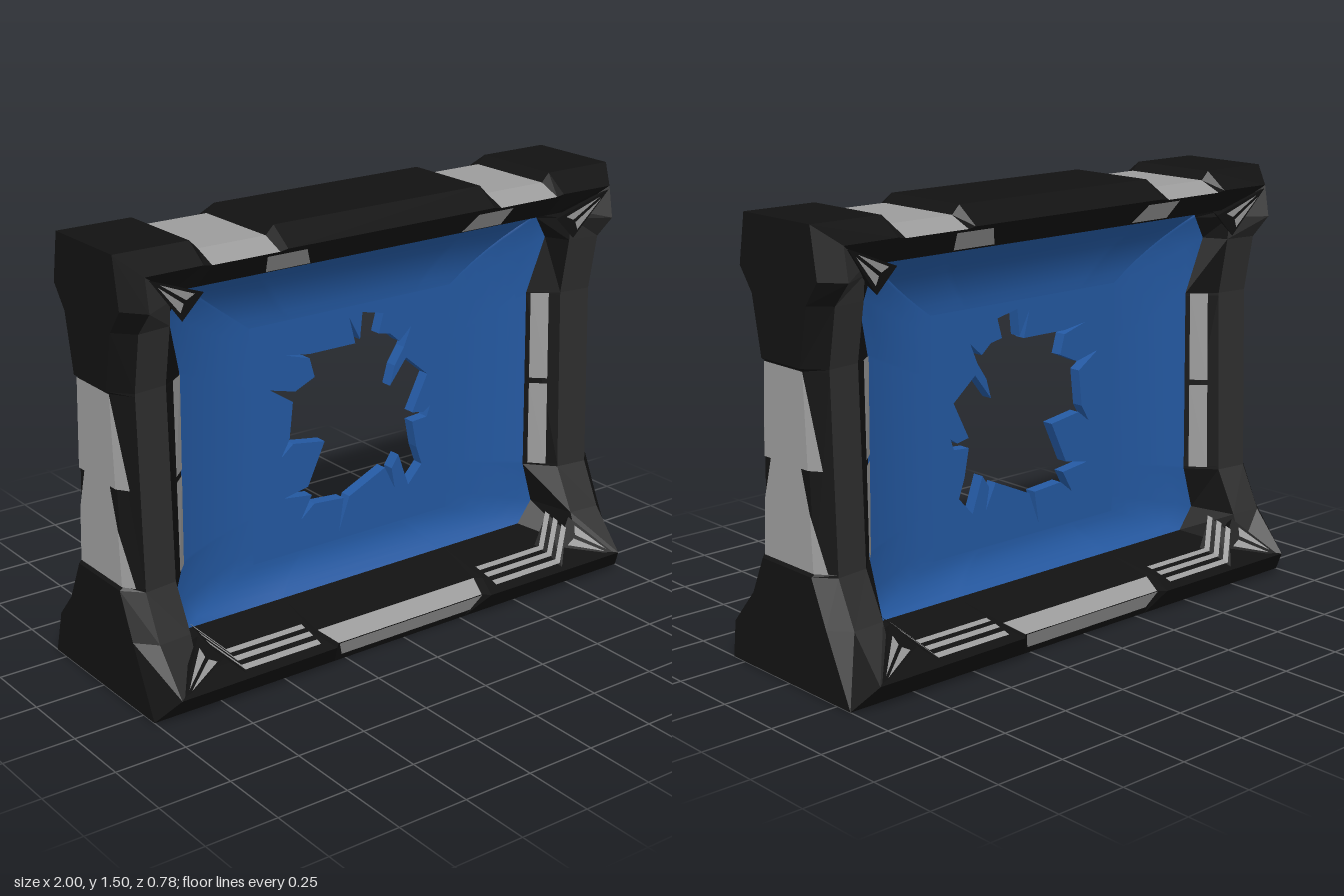
import * as THREE from 'three';

// Piecewise-linear lookup through [key, value] pairs
function table(...pts) {
  return (v) => {
    if (v <= pts[0][0]) return pts[0][1];
    for (let i = 1; i < pts.length; i++) {
      const [a, b] = [pts[i - 1], pts[i]];
      if (v <= b[0]) return a[1] + (b[1] - a[1]) * (v - a[0]) / (b[0] - a[0]);
    }
    return pts[pts.length - 1][1];
  };
}

// Half depth of the frame by height, for each ring from the outer wall to the screen edge
const depth = [
  table([0, .315], [.235, .2], [.39, .13], [1.05, .1], [1.25, .14], [1.33, .2], [1.5, .17]),
  table([.09, .39], [.235, .265], [.39, .19], [1.05, .17], [1.25, .205], [1.33, .275], [1.44, .255]),
  table([.115, .3], [.235, .255], [.39, .175], [1.05, .155], [1.25, .19], [1.36, .2]),
  table([.155, .08], [1.05, .08], [1.34, .12]),
];
// Half width of each ring by height
const width = [
  table([.39, 1], [.4, .985], [1.04, .985], [1.05, 1]),
  () => .94,
  () => .82,
  table([.155, .72], [.235, .78], [.39, .735], [1.05, .725], [1.25, .78], [1.34, .72]),
];
const low = [0, .09, .115, .155], high = [1.5, 1.44, 1.36, 1.34];
const sideY = [.235, .39, .4, 1.04, 1.05, 1.25, 1.33];

// One closed ring, counter-clockwise from the lower +x corner; each point keeps its panel tag
function ring(k) {
  const side = [low[k], ...sideY, high[k]].map((y) => ({ p: [width[k](y), y, depth[k](y)], onSide: true }));
  const topHalf = [[.73, 0], [.7, 1], [.45, 1], [.42, 0]].map(([x, tag]) => ({
    p: [x, high[k] - tag * [.03, .005, 0, 0][k], [.17, .25, .2, .12][k]], tag,
  }));
  const bx = [.27, .31, .34, .34][k];
  const bottomHalf = [[bx, 1], [bx + .025, 0]].map(([x, tag]) => ({
    p: [x, low[k], [.315, .385, .3, .08][k] - tag * [0, .025, .02, 0][k]], tag,
  }));
  const flip = (list) => [...list].reverse().map((o) => ({ ...o, p: [-o.p[0], o.p[1], o.p[2]] }));
  return [...side, ...topHalf, ...flip(topHalf), ...flip(side), ...flip(bottomHalf), ...bottomHalf];
}

// Collects flat faces, mirrored to the back and optionally to the other side
class Faces {
  constructor() { this.pos = []; }
  tri(a, b, c, mirrorX = false) {
    for (const sx of mirrorX ? [1, -1] : [1]) for (const sz of [1, -1]) {
      for (const p of sx * sz > 0 ? [a, b, c] : [a, c, b]) this.pos.push(p[0] * sx, p[1], p[2] * sz);
    }
  }
  quad(a, b, c, d, mirrorX) { this.tri(a, b, c, mirrorX); this.tri(a, c, d, mirrorX); }
  mesh(name, material) {
    const g = new THREE.BufferGeometry();
    g.setAttribute('position', new THREE.Float32BufferAttribute(this.pos, 3));
    g.computeVertexNormals();
    const m = new THREE.Mesh(g, material);
    m.name = name;
    return m;
  }
}

const mix = (a, b, t) => a.map((v, i) => v + (b[i] - v) * t);

// Outline of the jagged hole with its cracks
const HOLE = [
  [.04, 1.09], [.13, 1.07], [.11, 1], [.16, .99], [.2, .955], [.25, 1], [.22, .93], [.18, .87], [.16, .8],
  [.23, .89], [.325, .81], [.26, .68], [.31, .67], [.34, .69], [.325, .65], [.26, .645], [.28, .545],
  [.305, .475], [.245, .41], [.2, .535], [.17, .49], [.185, .41], [.14, .5], [-.015, .43], [-.06, .31],
  [-.04, .43], [-.165, .44], [-.22, .395], [-.175, .475], [-.29, .49], [-.19, .51], [-.12, .66],
  [-.25, .68], [-.3, .64], [-.265, .7], [-.25, .83], [-.34, .89], [-.24, .865], [-.16, .9],
  [-.18, .97], [-.28, 1], [-.18, .985], [.01, .985], [-.015, 1.08], [.03, .995],
];

export function createModel() {
  const model = new THREE.Group();
  const flat = (color) => new THREE.MeshStandardMaterial({ color, flatShading: true, side: THREE.DoubleSide });
  const dark = flat(0x121212), charcoal = flat(0x2e2e2e), grey = flat(0x9c9c9c);
  const blue = new THREE.MeshStandardMaterial({ color: 0x2459a2, side: THREE.DoubleSide });

  // Frame, with lighter side fronts and recessed panels split off
  const frame = new Faces(), sideFronts = new Faces(), panels = new Faces();
  const rings = [0, 1, 2, 3].map(ring);
  const n = rings[0].length;
  for (let i = 0; i < n; i++) {
    const j = (i + 1) % n;
    const inset = rings[0][i].tag && rings[0][j].tag;
    const onTop = rings[0][i].p[1] > 1;
    const isSide = rings[0][i].onSide && rings[0][j].onSide;
    const panelBand = inset ? (onTop ? 0 : 1) : -1;
    for (let k = 0; k < 3; k++) {
      const target = k === panelBand ? panels : isSide && k === 1 ? sideFronts : frame;
      target.quad(rings[k][i].p, rings[k][j].p, rings[k + 1][j].p, rings[k + 1][i].p);
    }
    const [a, b] = [rings[0][i].p, rings[0][j].p];
    const mid = (p) => [p[0], p[1], 0];
    (inset && onTop ? panels : frame).quad(mid(a), mid(b), b, a);
  }
  // Slanted panels under the top edge, and the lower half of the bottom panel
  panels.quad([.5, 1.428, .254], [.48, 1.366, .212], [.31, 1.366, .212], [.35, 1.428, .254], true);
  panels.quad([0, .03, .335], [.28, .03, .335], [.31, .09, .365], [0, .09, .365], true);
  model.add(frame.mesh('frame', dark), sideFronts.mesh('frameSideFronts', charcoal));
  model.add(panels.mesh('recessedPanels', grey));

  // Stepped panels on the outer sides, bent over the chamfer
  const sidePanels = new Faces();
  const onSide = (y, z) => {
    const zo = depth[0](y);
    return [.991 - Math.max(0, z - zo) * .045 / (depth[1](y) - zo), y, z];
  };
  for (const [y0, w0, y1, w1] of [[.4, .168, .59, .119], [.59, .119, .73, .08], [.73, .155, 1.04, .1]]) {
    const c0 = Math.min(w0, depth[0](y0)), c1 = Math.min(w1, depth[0](y1));
    sidePanels.quad(onSide(y0, 0), onSide(y1, 0), onSide(y1, c1), onSide(y0, c0), true);
    sidePanels.quad(onSide(y0, c0), onSide(y1, c1), onSide(y1, w1), onSide(y0, w0), true);
  }
  model.add(sidePanels.mesh('sidePanels', grey));

  // Light strips on the inner bevel of each side
  const strips = new Faces();
  const onBevel = (y, t) => {
    const p = mix([width[2](y), y, depth[2](y)], [width[3](y), y, depth[3](y)], t);
    return [p[0] - .004, y, p[2] + .007];
  };
  for (const [y0, y1] of [[.4, .71], [.73, 1.05]]) {
    strips.quad(onBevel(y0, .35), onBevel(y1, .35), onBevel(y1, .88), onBevel(y0, .88), true);
  }
  model.add(strips.mesh('lightStrips', grey));

  // Corner gussets with two grey rays each
  const gussets = new Faces(), rays = new Faces();
  for (const [a, b, c] of [
    [[.93, .085, .385], [.8, .225, .265], [.72, .14, .3]],
    [[.93, 1.43, .262], [.72, 1.35, .23], [.8, 1.27, .23]],
  ]) {
    const at = (u, v, w, dz = 0) => a.map((_, i) => a[i] * u + b[i] * v + c[i] * w + (i === 2 ? dz : 0));
    const d = at(1 / 3, 1 / 3, 1 / 3, -.14);
    gussets.tri(a, b, c, true);
    for (const [p, q] of [[b, a], [c, b], [a, c]]) gussets.tri(p, q, d, true);
    rays.tri(at(.8, .14, .06, .004), at(.14, .76, .1, .004), at(.2, .46, .34, .004), true);
    rays.tri(at(.8, .06, .14, .004), at(.2, .34, .46, .004), at(.14, .1, .76, .004), true);
  }

  // Ramps and stripes on the lower ledge, turning up at the corners
  gussets.quad([.68, .096, .37], [.77, .185, .285], [.77, .22, .18], [.68, .13, .22], true);
  const stripes = new Faces();
  const ledgeY = table([.08, .155], [.3, .115], [.39, .09]);
  for (const z of [.345, .3, .255]) {
    const edge = (x, zz, rise, back) => [x, ledgeY(zz) + .008 + rise, zz - back];
    const [f, r] = [z + .012, z - .012];
    stripes.quad(edge(.38, f, 0, 0), edge(.68, f, 0, 0), edge(.68, r, 0, 0), edge(.38, r, 0, 0), true);
    stripes.quad(edge(.68, f, 0, 0), edge(.77, f, .09, .07), edge(.77, r, .09, .07), edge(.68, r, 0, 0), true);
  }
  model.add(gussets.mesh('cornerGussets', dark), rays.mesh('cornerRays', grey), stripes.mesh('ledgeStripes', grey));

  // Flat middle of the screen with the broken hole
  const screen = new THREE.Group();
  screen.name = 'brokenScreen';
  const T = .022, HX = .42, Y0 = .28, Y1 = 1.12;
  const shape = new THREE.Shape([[-HX, Y0], [HX, Y0], [HX, Y1], [-HX, Y1]].map((p) => new THREE.Vector2(...p)));
  shape.holes.push(new THREE.Path(HOLE.map((p) => new THREE.Vector2(...p))));
  const plate = new THREE.Mesh(new THREE.ExtrudeGeometry(shape, { depth: 2 * T, bevelEnabled: false }), blue);
  plate.geometry.translate(0, 0, -T);
  plate.name = 'screenCentre';
  screen.add(plate);

  // Curved border sweeping from the flat middle out to the frame
  const clamp = THREE.MathUtils.clamp, steps = 6;
  for (const s of [1, -1]) {
    const pos = [], index = [];
    for (let k = 0; k <= steps; k++) {
      const t = k / steps;
      for (const { p: [x, y, z] } of rings[3]) {
        const ix = clamp(x * .6, -HX, HX), iy = Y0 + (Y1 - Y0) * clamp((y - .155) / 1.185, 0, 1);
        pos.push(ix + (x - ix) * t, iy + (y - iy) * t, s * (T + (z - T) * t * t));
      }
    }
    for (let k = 0; k < steps; k++) for (let i = 0; i < n; i++) {
      const j = (i + 1) % n, a = k * n + i, b = k * n + j, c = b + n, d = a + n;
      index.push(...(s > 0 ? [a, d, c, a, c, b] : [a, c, d, a, b, c]));
    }
    const g = new THREE.BufferGeometry();
    g.setAttribute('position', new THREE.Float32BufferAttribute(pos, 3));
    g.setIndex(index);
    g.computeVertexNormals();
    const border = new THREE.Mesh(g, blue);
    border.name = s > 0 ? 'screenBorderFront' : 'screenBorderBack';
    screen.add(border);
  }
  model.add(screen);
  return model;
}
